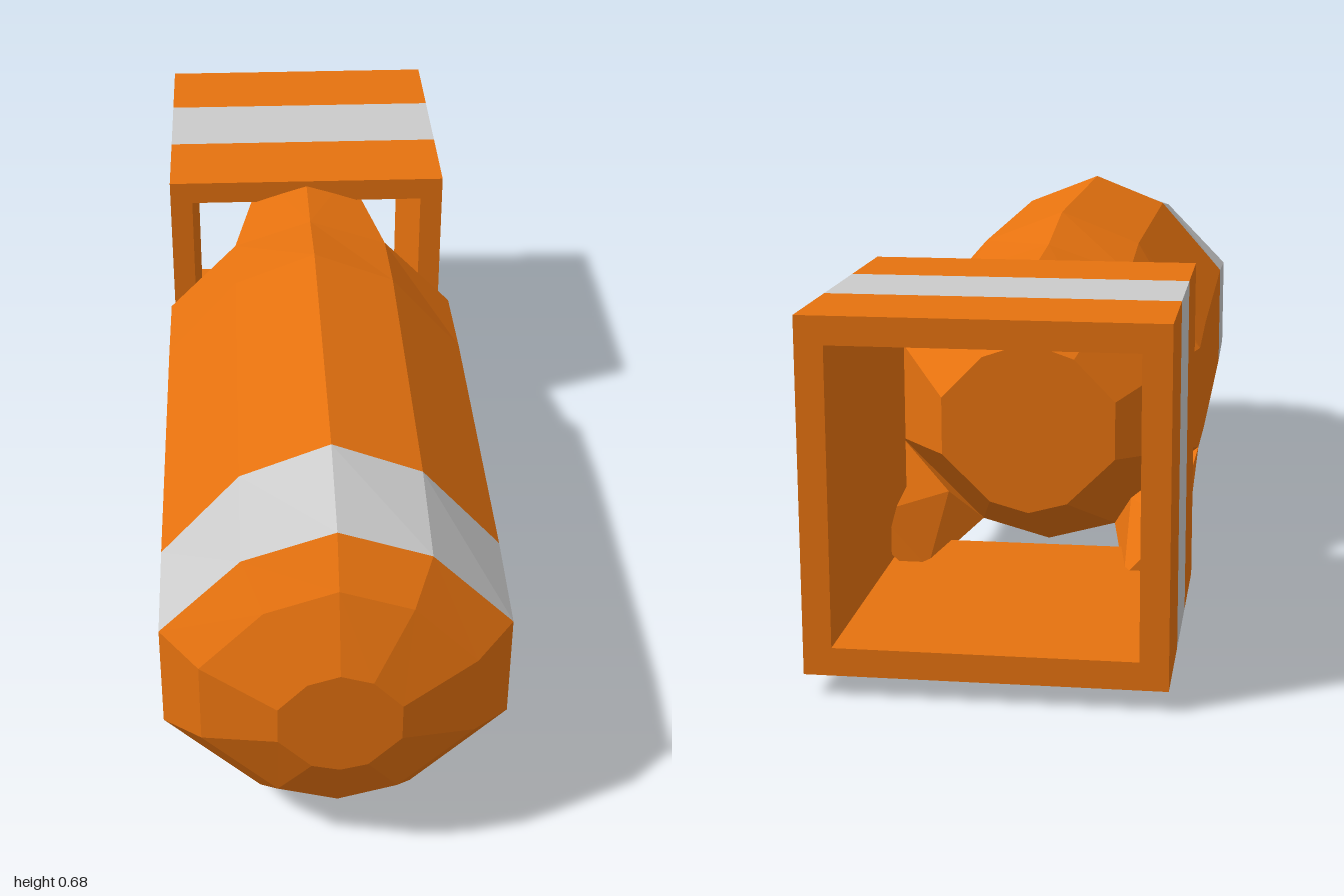
import * as THREE from 'three';
import { ConvexGeometry } from 'three/addons/geometries/ConvexGeometry.js';

const orange = new THREE.MeshStandardMaterial({ color: 0xe6720f, flatShading: true });
const grey = new THREE.MeshStandardMaterial({ color: 0xcccccc, flatShading: true });
const CY = 0.34; // height of the body axis

// Mirror a half profile (top to bottom on +x) into a ten-sided ring at depth z
function ring(z, half) {
  const left = half.slice(1, -1).reverse().map(([x, y]) => [-x, y]);
  return [...half, ...left].map(([x, y]) => new THREE.Vector3(x, y, z));
}

// Shrink a half profile about the body axis
const shrink = (half, s) => half.map(([x, y]) => [x * s, CY + (y - CY) * s]);

// Skin rings ordered front to back, with optional end caps
function loft(rings, capFront, capBack) {
  const pts = [];
  for (let i = 0; i < rings.length - 1; i++) {
    const a = rings[i], b = rings[i + 1], n = a.length;
    for (let j = 0; j < n; j++) {
      const k = (j + 1) % n;
      pts.push(a[j], a[k], b[j], a[k], b[k], b[j]);
    }
  }
  const cap = (r, front) => {
    const c = new THREE.Vector3(0, CY, r[0].z);
    r.forEach((p, j) => {
      const q = r[(j + 1) % r.length];
      pts.push(c, front ? q : p, front ? p : q);
    });
  };
  if (capFront) cap(rings[0], true);
  if (capBack) cap(rings[rings.length - 1], false);
  const g = new THREE.BufferGeometry().setFromPoints(pts);
  g.computeVertexNormals();
  return g;
}

// Square tube between two depths; the inset is the wall thickness
function frame(half, wall, z0, z1) {
  const square = (h, T) => new T([
    new THREE.Vector2(-h, -h), new THREE.Vector2(h, -h),
    new THREE.Vector2(h, h), new THREE.Vector2(-h, h),
  ]);
  const s = square(half, THREE.Shape);
  s.holes.push(square(half - wall, THREE.Path));
  const g = new THREE.ExtrudeGeometry(s, { depth: z1 - z0, bevelEnabled: false });
  return g.translate(0, CY, z0);
}

const hull = (points) => new ConvexGeometry(points.map((p) => new THREE.Vector3(...p)));

export function createModel() {
  const model = new THREE.Group();
  const add = (name, geometry, material) => {
    const m = new THREE.Mesh(geometry, material);
    m.name = name;
    model.add(m);
  };

  // Half profiles along the body
  const tip = [[0, 0.445], [0.055, 0.428], [0.105, 0.375], [0.105, 0.304], [0.048, 0.246], [0, 0.235]];
  const dome = [[0, 0.575], [0.125, 0.533], [0.235, 0.418], [0.235, 0.262], [0.105, 0.134], [0, 0.105]];
  const shoulder = [[0, 0.643], [0.16, 0.588], [0.302, 0.442], [0.302, 0.24], [0.135, 0.075], [0, 0.038]];
  const full = [[0, 0.68], [0.16, 0.617], [0.302, 0.455], [0.302, 0.23], [0.135, 0.043], [0, 0.002]];

  // Nose, painted band, barrel and tapering tail
  add('nose', loft([ring(1, tip), ring(0.94, dome), ring(0.87, shoulder)], true, false), orange);
  add('noseBand', loft([ring(0.87, shoulder), ring(0.67, full)], false, false), grey);
  add('body', loft([
    ring(0.67, full), ring(0, full), ring(-0.21, shoulder),
    ring(-0.4, shrink(shoulder, 0.7)), ring(-0.5, shrink(shoulder, 0.54)),
  ], false, true), orange);

  // Top strut joining the tail to the box
  const topPoints = [
    [0, 0.643, -0.21], [0, 0.63, -0.4], [0, 0.615, -0.53], [0, 0.5, -0.4],
  ];
  for (const s of [-1, 1]) {
    topPoints.push([s * 0.16, 0.588, -0.21], [s * 0.12, 0.59, -0.4],
      [s * 0.1, 0.59, -0.53], [s * 0.09, 0.55, -0.53]);
  }
  add('topStrut', hull(topPoints), orange);

  // Lower struts flaring into the bottom corners of the box
  for (const s of [-1, 1]) {
    const points = [
      [0.302, 0.24, -0.21], [0.135, 0.075, -0.21], [0.18, 0.17, -0.35],
      [0.3, 0.18, -0.4], [0.18, 0.06, -0.4],
      [0.28, 0.18, -0.54], [0.29, 0.13, -0.54], [0.21, 0.06, -0.54], [0.185, 0.075, -0.54],
    ].map(([x, y, z]) => [s * x, y, z]);
    add(s > 0 ? 'leftStrut' : 'rightStrut', hull(points), orange);
  }

  // Square tail box with a painted band around the outside
  add('tailBoxFront', frame(0.302, 0.048, -0.6, -0.4), orange);
  add('tailBoxRear', frame(0.302, 0.048, -1, -0.8), orange);
  add('tailBoxLiner', frame(0.292, 0.038, -0.8, -0.6), orange);
  add('tailBand', frame(0.302, 0.01, -0.8, -0.6), grey);

  return model;
}
